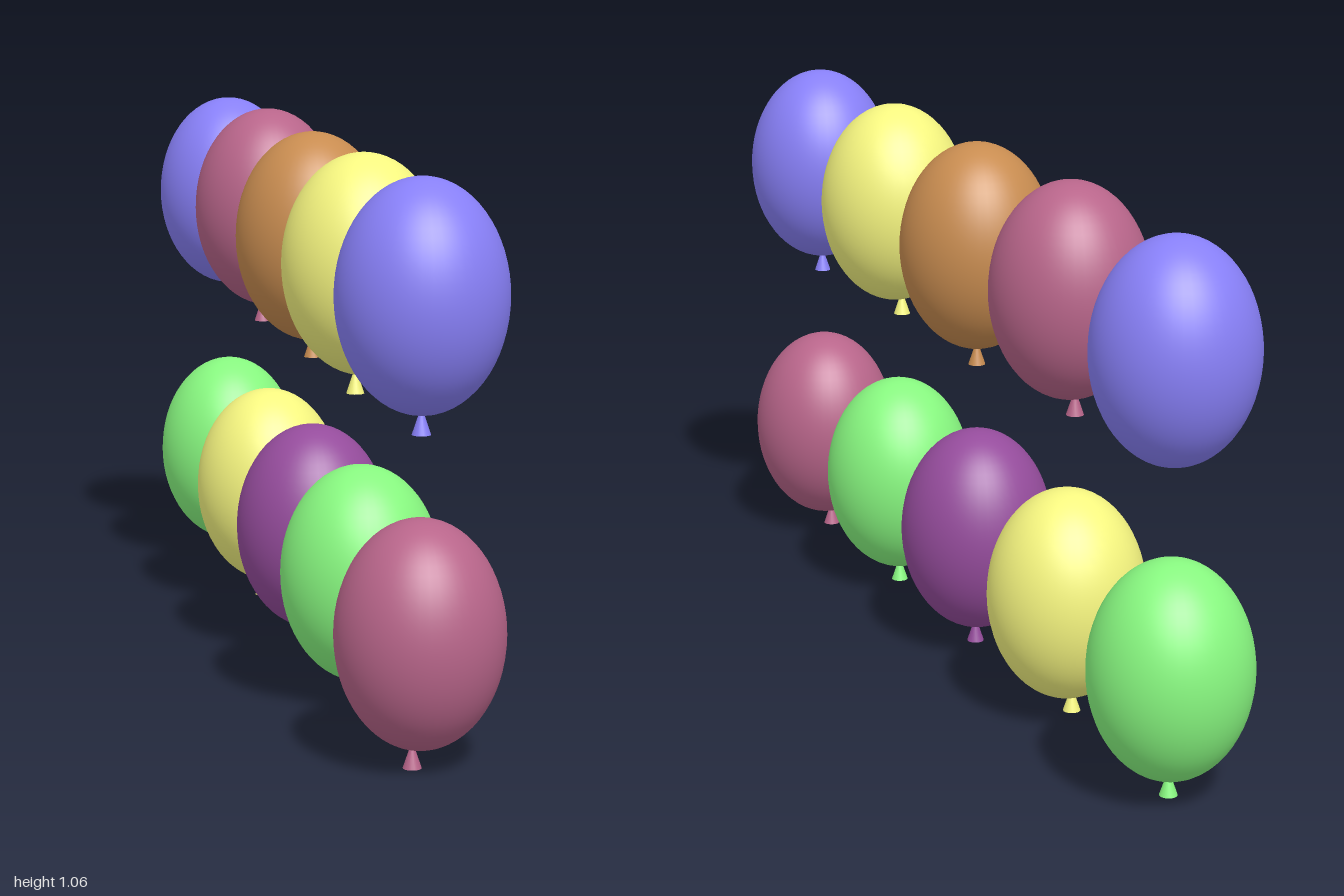
import * as THREE from 'three';

const colors = {
  blue: 0x8880f8, yellow: 0xf6f680, brown: 0xc88c50,
  rose: 0xb8658a, purple: 0x954c9c, green: 0x88f880,
};

// One entry per balloon: colour, centre y, centre z, knot offset in x (null = no knot)
const balloons = [
  ['blue', 0.843, 0.848, 0], ['yellow', 0.843, 0.425, -0.015], ['brown', 0.843, 0.003, 0],
  ['rose', 0.853, -0.421, -0.012], ['blue', 0.843, -0.841, null],
  ['rose', 0.243, 0.848, -0.013], ['green', 0.252, 0.412, 0], ['purple', 0.254, 0.003, 0.003],
  ['yellow', 0.254, -0.417, -0.013], ['green', 0.252, -0.846, 0],
];

export function createModel() {
  const model = new THREE.Group();
  model.name = 'balloonRows';

  // Shared shapes: a tall ellipsoid and a small flared knot
  const bodyGeometry = new THREE.SphereGeometry(1, 48, 32).scale(0.153, 0.208, 0.153);
  const knotGeometry = new THREE.CylinderGeometry(0.003, 0.017, 0.042, 20);
  const materials = {};
  for (const [name, color] of Object.entries(colors)) {
    materials[name] = new THREE.MeshStandardMaterial({ color });
  }

  for (const [color, y, z, knotX] of balloons) {
    const balloon = new THREE.Group();
    balloon.name = color + 'Balloon';
    balloon.position.set(0, y, z);

    const body = new THREE.Mesh(bodyGeometry, materials[color]);
    body.name = 'balloonBody';
    balloon.add(body);

    if (knotX !== null) {
      const knot = new THREE.Mesh(knotGeometry, materials[color]);
      knot.name = 'balloonKnot';
      knot.position.set(knotX, -0.222, 0);
      balloon.add(knot);
    }
    model.add(balloon);
  }
  return model;
}
